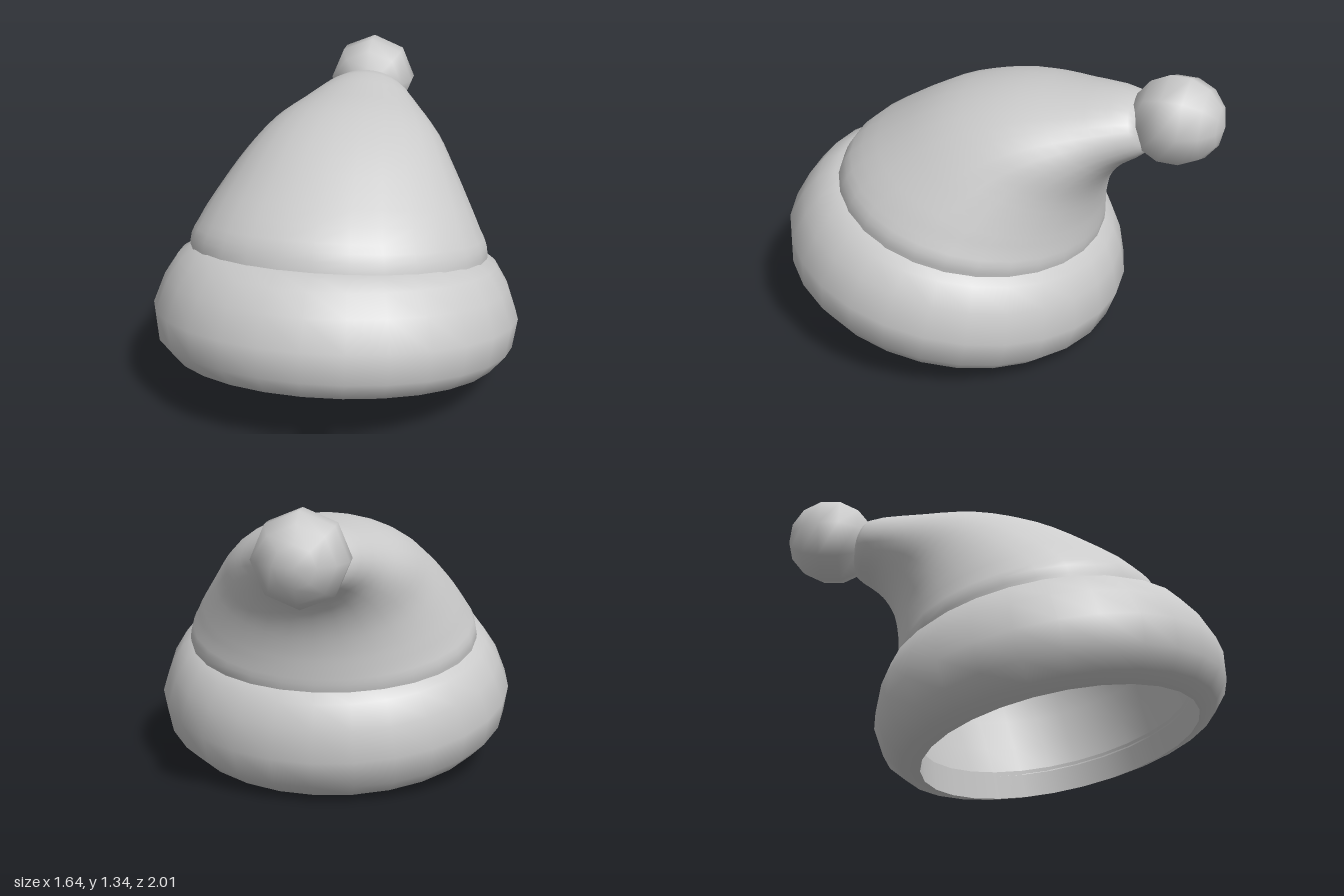
import * as THREE from 'three';

const SIDES = 28;
const TILT = THREE.MathUtils.degToRad(11);

function material(side = THREE.FrontSide) {
  return new THREE.MeshStandardMaterial({ color: 0xcccccc, side });
}

// Slightly oval ring turned from an (r, y) profile
function ring(name, profile, side) {
  const pts = profile.map(([r, y]) => new THREE.Vector2(r, y));
  const mesh = new THREE.Mesh(new THREE.LatheGeometry(pts, SIDES), material(side));
  mesh.name = name;
  mesh.scale.x = 1.03;
  return mesh;
}

// Oval sections [front z, front y, back z, back y, half width], bending backwards
const SECTIONS = [
  [0.85, 0.346, -0.365, 0.11, 0.635],
  [0.75, 0.745, -0.46, 0.49, 0.67],
  [0.69, 0.85, -0.465, 0.57, 0.635],
  [0.48, 1.0, -0.47, 0.66, 0.56],
  [0.24, 1.13, -0.49, 0.76, 0.475],
  [-0.02, 1.2, -0.53, 0.85, 0.395],
  [-0.3, 1.222, -0.59, 0.92, 0.295],
  [-0.6, 1.225, -0.68, 0.98, 0.18],
  [-0.66, 1.18, -0.7, 1.03, 0.1],
  [-0.75, 1.14, -0.75, 1.14, 0],
];

function crownGeometry() {
  const rows = 27;
  const curve = (f) => new THREE.CatmullRomCurve3(SECTIONS.map(f));
  const front = curve((s) => new THREE.Vector3(0, s[1], s[0]));
  const back = curve((s) => new THREE.Vector3(0, s[3], s[2]));
  const width = curve((s, i) => new THREE.Vector3(s[4], i, 0));
  const pos = [], index = [];
  for (let i = 0; i <= rows; i++) {
    const t = i / rows;
    const f = front.getPoint(t), b = back.getPoint(t), w = width.getPoint(t).x;
    for (let j = 0; j < SIDES; j++) {
      const a = (j / SIDES) * Math.PI * 2;
      const p = b.clone().lerp(f, (1 + Math.cos(a)) / 2);
      pos.push(w * Math.sin(a), p.y, p.z);
      if (i === rows) continue;
      const k = (j + 1) % SIDES, r0 = i * SIDES, r1 = r0 + SIDES;
      index.push(r0 + j, r0 + k, r1 + k, r0 + j, r1 + k, r1 + j);
    }
  }
  const g = new THREE.BufferGeometry();
  g.setAttribute('position', new THREE.Float32BufferAttribute(pos, 3));
  g.setIndex(index);
  g.computeVertexNormals();
  return g;
}

export function createModel() {
  const hat = new THREE.Group();
  hat.name = 'hat';

  // Puffy brim, tipped up at the front
  const brim = new THREE.Group();
  brim.name = 'brim';
  brim.add(
    ring('brimRoll', [
      [0.63, 0], [0.713, 0.027], [0.778, 0.104], [0.797, 0.235],
      [0.75, 0.368], [0.692, 0.465], [0.62, 0.512], [0.56, 0.525],
    ]),
    ring('brimInnerWall', [[0.615, 0.13], [0.63, 0]], THREE.DoubleSide),
  );
  brim.position.set(0, 0.121, 0.265);
  brim.rotation.x = -TILT;
  hat.add(brim);

  // Soft crown drooping to the back
  const crown = new THREE.Mesh(crownGeometry(), material(THREE.DoubleSide));
  crown.name = 'crown';
  hat.add(crown);

  // Pompom on the tip, its pole pointing backwards
  const pompom = new THREE.Mesh(new THREE.SphereGeometry(0.204, 8, 7), material());
  pompom.name = 'pompom';
  pompom.rotation.x = Math.PI / 2;
  pompom.position.set(0, 1.14, -0.796);
  hat.add(pompom);

  return hat;
}
